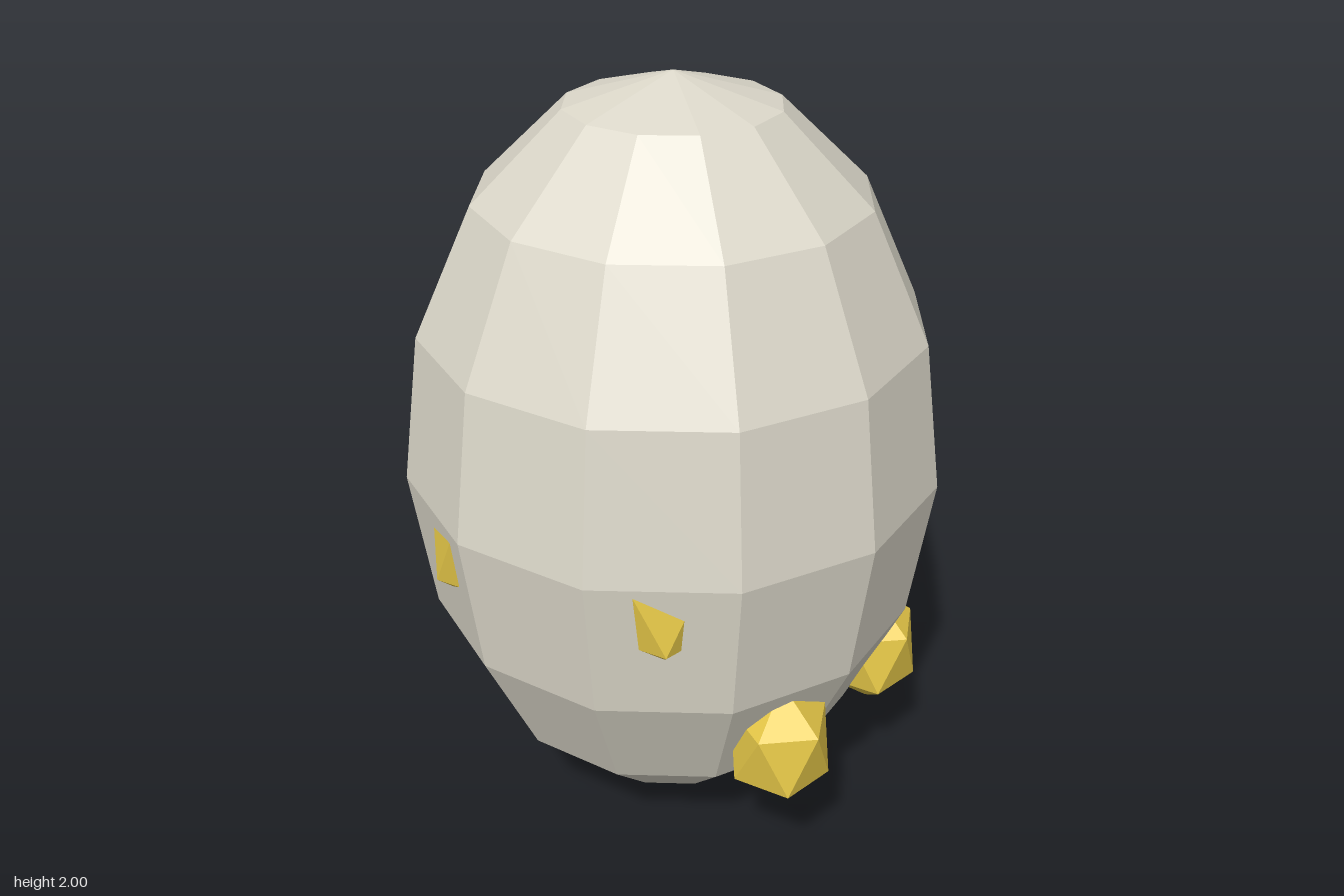
import * as THREE from 'three';

export function createModel() {
  const model = new THREE.Group();
  model.name = 'studdedEgg';

  const shellMaterial = new THREE.MeshStandardMaterial({ color: 0xdcd8ca, flatShading: true });
  const goldMaterial = new THREE.MeshStandardMaterial({ color: 0xe6c848, flatShading: true });

  // Faceted egg body
  const shell = new THREE.Mesh(new THREE.SphereGeometry(1, 12, 8), shellMaterial);
  shell.name = 'shell';
  shell.scale.set(0.695, 1, 0.695);
  shell.position.y = 1;
  model.add(shell);

  // Gold nugget: icosahedron turned so one corner points up, slightly tall
  const nugget = new THREE.IcosahedronGeometry(1, 0);
  nugget.rotateZ(-Math.atan(2 / (1 + Math.sqrt(5))));
  nugget.scale(0.142, 0.178, 0.142);

  // Nuggets half sunk into the shell
  const spots = {
    lowerNugget: [[0.547, 0.428, 0.14], [0.43, 0.428, -0.34], [-0.02, 0.428, -0.545]],
    middleNugget: [[-0.1, 0.9, 0.55], [0.385, 0.9, 0.4]],
    upperNugget: [[-0.564, 1.393, -0.05], [-0.32, 1.393, -0.46]],
  };
  for (const [name, positions] of Object.entries(spots)) {
    positions.forEach((p, i) => {
      const mesh = new THREE.Mesh(nugget, goldMaterial);
      mesh.name = name + (i + 1);
      mesh.position.set(...p);
      model.add(mesh);
    });
  }
  return model;
}
